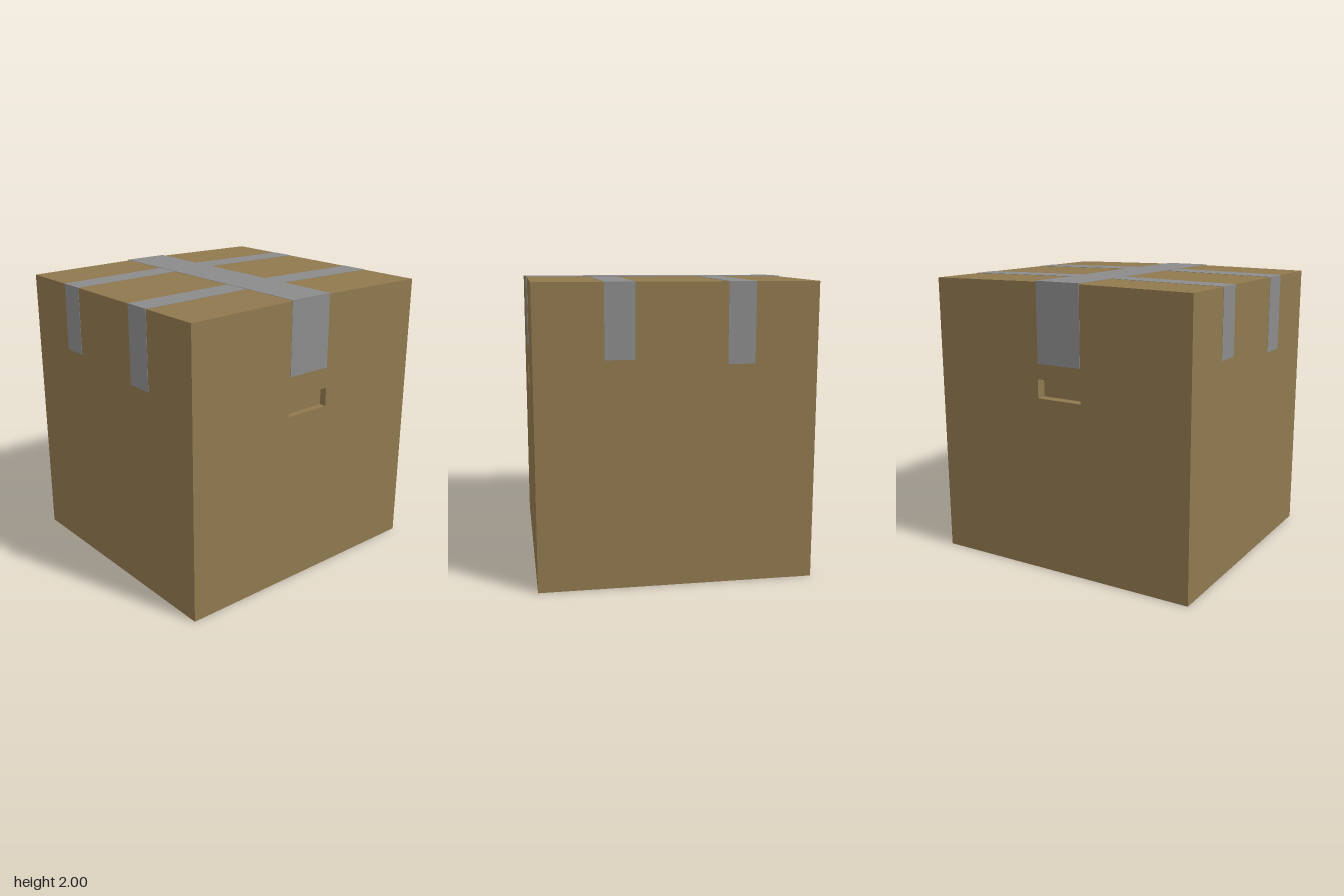
import * as THREE from 'three';

const HALF_W = 0.988, HALF_D = 0.918, EAVE = 1.983, RIDGE = 1.996;
const HAND_X0 = -0.19, HAND_X1 = 0.15, HAND_Y0 = 1.22, HAND_Y1 = 1.35;
const T = 0.002; // tape thickness

const cardboard = new THREE.MeshStandardMaterial({ color: 0x8f784e });
const tapeGrey = new THREE.MeshStandardMaterial({ color: 0x8b8b8b });

function polygon(points) {
  return new THREE.Shape(points.map(([x, y]) => new THREE.Vector2(x, y)));
}

function extrude(shape, depth) {
  return new THREE.ExtrudeGeometry(shape, { depth, bevelEnabled: false });
}

// Box outline with a slightly domed lid
function boxOutline() {
  return polygon([[-HALF_W, 0], [HALF_W, 0], [HALF_W, EAVE], [0, RIDGE], [-HALF_W, EAVE]]);
}

// Tape strip that runs over the lid and hangs down both ends
function tapeStrip(half, eave, ridge, dropNeg, dropPos, width) {
  return extrude(polygon([
    [-half - T, dropNeg], [-half, dropNeg], [-half, eave], [0, ridge], [half, eave],
    [half, dropPos], [half + T, dropPos], [half + T, eave + T], [0, ridge + T], [-half - T, eave + T],
  ]), width);
}

export function createModel() {
  const group = new THREE.Group();
  const add = (name, geometry, material) => {
    const mesh = new THREE.Mesh(geometry, material);
    mesh.name = name;
    group.add(mesh);
    return mesh;
  };

  // Carton core between the two pierced end panels
  const frontDepth = 0.05, backDepth = 0.07;
  add('cartonCore', extrude(boxOutline(), 2 * HALF_D - frontDepth - backDepth), cardboard)
    .position.z = -HALF_D + backDepth;

  // End panels with hand holds
  for (const [name, z, depth] of [
    ['frontPanel', HALF_D - frontDepth, frontDepth],
    ['backPanel', -HALF_D, backDepth],
  ]) {
    const outline = boxOutline();
    outline.holes.push(polygon([
      [HAND_X0, HAND_Y0], [HAND_X0, HAND_Y1], [HAND_X1, HAND_Y1], [HAND_X1, HAND_Y0],
    ]));
    add(name, extrude(outline, depth), cardboard).position.z = z;
  }

  // Two narrow tapes from side to side
  add('frontCrossTape', tapeStrip(HALF_W, EAVE, RIDGE, 1.45, 1.5, 0.195), tapeGrey)
    .position.z = 0.277;
  add('backCrossTape', tapeStrip(HALF_W, EAVE, RIDGE, 1.515, 1.46, 0.18), tapeGrey)
    .position.z = -0.5;

  // Wide tape from back to front, over the lid seam
  const seam = tapeStrip(HALF_D, RIDGE + T, RIDGE + T, 1.455, 1.495, 0.335);
  seam.rotateY(-Math.PI / 2);
  add('seamTape', seam, tapeGrey).position.x = 0.147;

  return group;
}
